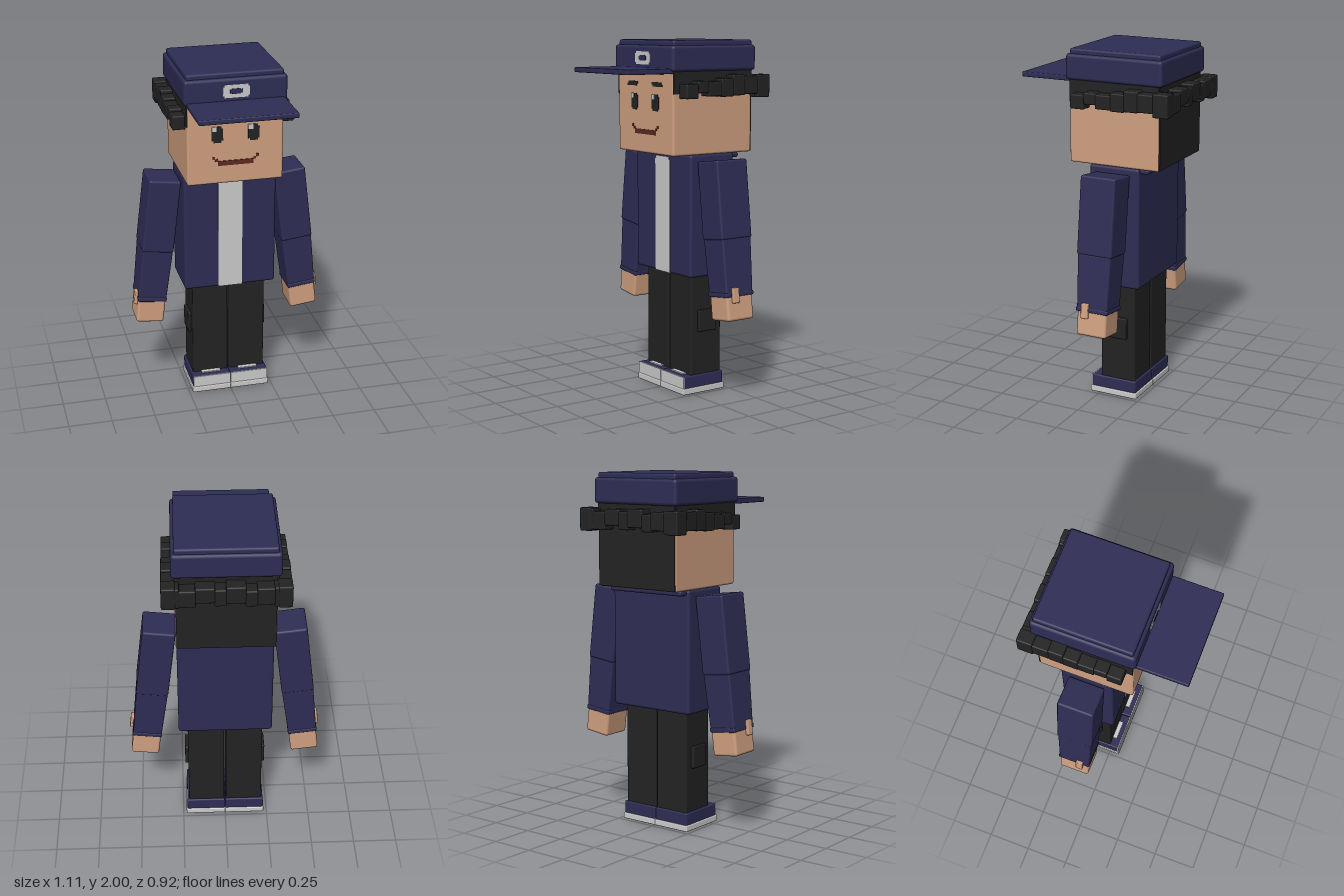
import * as THREE from 'three';
import { RoundedBoxGeometry } from 'three/addons/geometries/RoundedBoxGeometry.js';

const material = (name, color) => {
  const m = new THREE.MeshStandardMaterial({ color });
  m.name = name;
  return m;
};

export function createModel() {
  const navy = material('navy cloth', 0x2e2d55);
  const skin = material('skin', 0xd0a080);
  const black = material('black', 0x232323);
  const grey = material('light grey', 0xcccccc);
  const brown = material('mouth brown', 0x5c2a22);

  const model = new THREE.Group();
  model.name = 'figure';

  // Box given by its min and max corners, with a small rounded edge when r > 0
  const box = (parent, name, mat, [x0, x1], [y0, y1], [z0, z1], r = 0.01) => {
    const w = x1 - x0, h = y1 - y0, d = z1 - z0;
    const geo = r ? new RoundedBoxGeometry(w, h, d, 2, r) : new THREE.BoxGeometry(w, h, d);
    const mesh = new THREE.Mesh(geo, mat);
    mesh.name = name;
    mesh.position.set((x0 + x1) / 2, (y0 + y1) / 2, (z0 + z1) / 2);
    parent.add(mesh);
    return mesh;
  };
  // The same span on the model's left (s = 1) or right (s = -1)
  const span = (s, a, b) => (s > 0 ? [a, b] : [-b, -a]);
  const group = (name) => {
    const g = new THREE.Group();
    g.name = name;
    model.add(g);
    return g;
  };

  // Torso with the shirt strip and the collar behind the neck
  const torso = group('torso');
  box(torso, 'jacket', navy, [-0.267, 0.267], [0.68, 1.37], [-0.26, 0.04], 0.015);
  box(torso, 'shirtStrip', grey, [-0.07, 0.07], [0.682, 1.33], [0.036, 0.044], 0);
  box(torso, 'shirtStripTop', grey, [-0.06, 0.06], [1.33, 1.345], [0.036, 0.044], 0);
  box(torso, 'backCollar', navy, [-0.25, 0.25], [1.34, 1.37], [-0.31, -0.25], 0.012);

  // Head, with dark hair painted on the back and upper sides
  const head = group('head');
  box(head, 'face', skin, [-0.27, 0.27], [1.37, 1.85], [-0.38, 0.16], 0.012);
  box(head, 'backHair', black, [-0.265, 0.265], [1.375, 1.84], [-0.384, -0.376], 0);
  box(head, 'hairline', black, [-0.18, 0.18], [1.812, 1.84], [0.156, 0.163], 0);
  for (const s of [-1, 1]) {
    box(head, 'sideHair', black, span(s, 0.266, 0.273), [1.71, 1.84], [-0.38, 0.158], 0);
    // Brow and eye with stepped pixel corners
    box(head, 'brow', black, span(s, 0.07, 0.16), [1.756, 1.77], [0.156, 0.164], 0);
    box(head, 'browEnds', black, span(s, 0.08, 0.17), [1.745, 1.757], [0.156, 0.164], 0);
    box(head, 'eye', black, span(s, 0.07, 0.134), [1.622, 1.69], [0.156, 0.164], 0);
    box(head, 'eyeTall', black, span(s, 0.08, 0.124), [1.61, 1.702], [0.156, 0.164], 0);
    const x = s * 0.102 - 0.032;
    box(head, 'eyeGlint', grey, [x, x + 0.027], [1.675, 1.702], [0.157, 0.166], 0);
    box(head, 'mouthCorner', brown, span(s, 0.1, 0.115), [1.5, 1.515], [0.156, 0.164], 0);
    box(head, 'mouthTip', brown, span(s, 0.115, 0.13), [1.513, 1.53], [0.156, 0.164], 0);
  }
  box(head, 'mouth', brown, [-0.1, 0.1], [1.476, 1.503], [0.156, 0.164], 0);

  // Blocky hair ring: tufts along both sides and the back
  const hair = group('hair');
  const sideCuts = [0.12, 0.04, -0.03, -0.12, -0.2, -0.28, -0.37, -0.455];
  const sideLow = [1.685, 1.715, 1.695, 1.69, 1.695, 1.7, 1.68];
  const sideHigh = [1.765, 1.78, 1.775, 1.79, 1.81, 1.8, 1.808];
  const backCuts = [-0.25, -0.16, -0.1, 0, 0.06, 0.16, 0.25];
  const backLow = [1.7, 1.69, 1.71, 1.695, 1.715, 1.69];
  const backHigh = [1.8, 1.785, 1.81, 1.795, 1.805, 1.79];
  for (const s of [-1, 1]) {
    sideLow.forEach((low, i) => {
      box(hair, 'sideTuft', black, span(s, 0.265, 0.34), [low, sideHigh[i]],
        [sideCuts[i + 1] - 0.004, sideCuts[i]], 0.008);
    });
    box(hair, 'cornerTuft', black, span(s, 0.245, 0.335), [1.685, 1.805], [-0.457, -0.37], 0.008);
  }
  backLow.forEach((low, i) => {
    box(hair, 'backTuft', black, [backCuts[i], backCuts[i + 1] + 0.004], [low, backHigh[i]],
      [-0.457, -0.37], 0.008);
  });

  // Cap: band, raised crown, flat brim and a plain badge plate
  const cap = group('cap');
  box(cap, 'capBand', navy, [-0.287, 0.287], [1.83, 1.972], [-0.4, 0.175], 0.018);
  box(cap, 'capCrown', navy, [-0.27, 0.27], [1.95, 2], [-0.385, 0.157], 0.012);
  box(cap, 'brim', navy, [-0.27, 0.27], [1.82, 1.848], [0.1, 0.457], 0.006);
  box(cap, 'badge', grey, [-0.065, 0.065], [1.865, 1.937], [0.171, 0.178], 0);
  box(cap, 'badgeSides', grey, [-0.075, 0.075], [1.876, 1.926], [0.171, 0.178], 0);
  box(cap, 'badgeCentre', navy, [-0.035, 0.035], [1.891, 1.911], [0.173, 0.18], 0);
  box(cap, 'badgeCentreTall', navy, [-0.024, 0.024], [1.886, 1.916], [0.173, 0.18], 0);

  for (const s of [-1, 1]) {
    const side = s > 0 ? 'left' : 'right';

    // Arm hangs from the shoulder, splayed slightly outwards
    const arm = group(side + 'Arm');
    arm.position.set(s * 0.36, 1.345, -0.106);
    arm.rotation.z = s * 0.12;
    box(arm, 'upperSleeve', navy, [-0.091, 0.091], [-0.435, 0], [-0.105, 0.105], 0.012);
    const lower = box(arm, 'lowerSleeve', navy, [-0.089, 0.089], [-0.75, -0.425], [-0.1, 0.1], 0.012);
    // Narrow the forearm towards the wrist
    const p = lower.geometry.attributes.position;
    for (let i = 0; i < p.count; i++) {
      const k = 1 - 0.08 * (0.5 - p.getY(i) / 0.325);
      p.setX(i, p.getX(i) * k);
      p.setZ(i, p.getZ(i) * k);
    }
    box(arm, 'cuff', navy, [-0.084, 0.084], [-0.752, -0.725], [-0.096, 0.096], 0.008);
    box(arm, 'hand', skin, [-0.08, 0.08], [-0.885, -0.73], [-0.089, 0.089], 0.015);
    box(arm, 'thumb', skin, span(s, 0.075, 0.1), [-0.785, -0.7], [0.016, 0.058], 0.006);

    // Trouser leg with a side pocket
    const leg = group(side + 'Leg');
    box(leg, 'trouserLeg', black, span(s, 0.005, 0.215), [0.09, 0.69], [-0.213, -0.003], 0.008);
    box(leg, 'pocket', black, span(s, 0.2, 0.233), [0.355, 0.48], [-0.168, -0.05], 0.006);

    // Shoe with pale sole, toe plate and lace
    const shoe = group(side + 'Shoe');
    box(shoe, 'sole', grey, span(s, 0, 0.232), [0, 0.036], [-0.23, 0.06], 0.006);
    box(shoe, 'shoeUpper', navy, span(s, 0.001, 0.226), [0.03, 0.105], [-0.224, 0.052], 0.008);
    box(shoe, 'toePlate', grey, span(s, 0.002, 0.225), [0.034, 0.103], [0.047, 0.055], 0);
    box(shoe, 'lace', grey, span(s, 0.055, 0.168), [0.103, 0.112], [-0.004, 0.022], 0);
  }

  return model;
}
